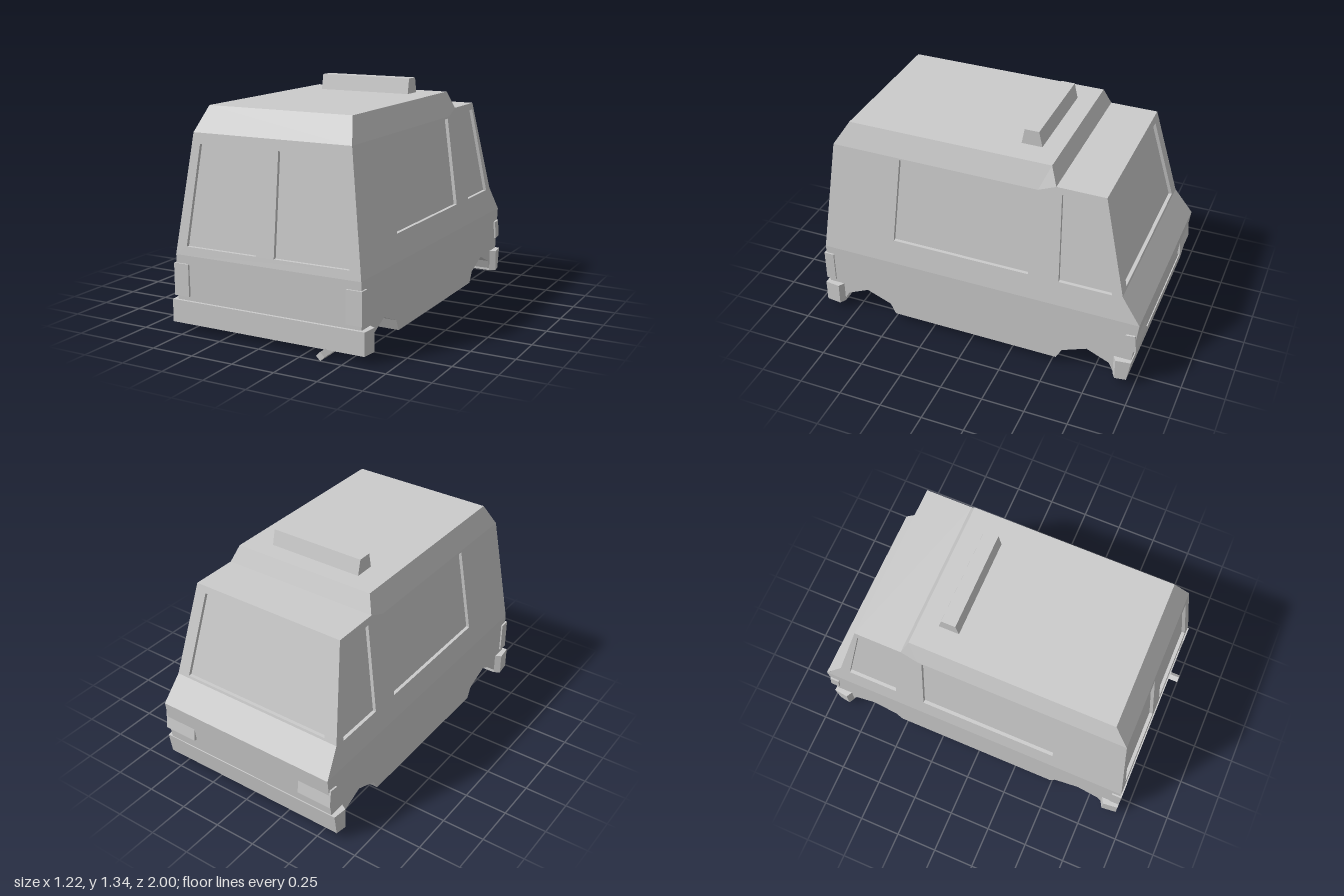
import * as THREE from 'three';
import { mergeGeometries } from 'three/addons/utils/BufferGeometryUtils.js';

const material = new THREE.MeshStandardMaterial({ color: 0xcccccc, flatShading: true, side: THREE.DoubleSide });
const RECESS = 0.02;

// Body half width at a height: straight below the belt line, leaning in above it
const halfWidth = (y) => 0.575 - 0.134 * Math.max(0, y - 0.43);
const v2 = (pts) => pts.map(([x, y]) => new THREE.Vector2(x, y));

// Polygons given as corner loops, counter-clockwise from outside
function polygons(loops) {
  const pos = [];
  for (const p of loops)
    for (let i = 1; i < p.length - 1; i++) pos.push(...p[0], ...p[i], ...p[i + 1]);
  const g = new THREE.BufferGeometry();
  g.setAttribute('position', new THREE.Float32BufferAttribute(pos, 3));
  g.computeVertexNormals();
  return g;
}

// Flat outline placed in space by map(u, v, depth)
function face(outline, holes, map, depth) {
  const shape = new THREE.Shape(v2(outline));
  shape.holes = holes.map((h) => new THREE.Path(v2(h)));
  const g = new THREE.ShapeGeometry(shape).toNonIndexed();
  g.deleteAttribute('uv');
  const p = g.attributes.position;
  for (let i = 0; i < p.count; i++) p.setXYZ(i, ...map(p.getX(i), p.getY(i), depth));
  g.computeVertexNormals();
  return g;
}

// Panel with sunken windows: skin, reveals and glass
function panel(group, name, outline, windows, map) {
  const add = (part, g) => {
    const m = new THREE.Mesh(g, material);
    m.name = part;
    group.add(m);
  };
  const parts = [face(outline, windows, map, 0)];
  for (const w of windows) {
    const loop = THREE.ShapeUtils.isClockWise(v2(w)) ? [...w].reverse() : w;
    parts.push(polygons(loop.map((a, i) => {
      const b = loop[(i + 1) % loop.length];
      return [map(...a, 0), map(...b, 0), map(...b, RECESS), map(...a, RECESS)];
    })));
    add(name + 'Glass', face(w, [], map, RECESS));
  }
  add(name, mergeGeometries(parts));
}

export function createModel() {
  const model = new THREE.Group();
  model.name = 'van';
  const add = (name, geometry, x = 0, y = 0, z = 0) => {
    const m = new THREE.Mesh(geometry, material);
    m.name = name;
    m.position.set(x, y, z);
    model.add(m);
    return m;
  };

  // Underside profile with wheel arches, as [z, y] from +z to -z
  const belly = [
    [0.93, 0.43], [0.92, 0.045], [0.84, 0.045], [0.8, 0.11], [0.67, 0.17], [0.52, 0.11], [0.49, 0.045],
    [-0.53, 0.045], [-0.565, 0.11], [-0.71, 0.17], [-0.845, 0.11], [-0.875, 0.045], [-0.955, 0.045], [-1, 0.43],
  ];
  const upperSide = [
    [0.93, 0.43], [0.86, 1.105], [-0.37, 1.105], [-0.47, 1.145], [-0.75, 1.145], [-0.89, 0.585], [-1, 0.43],
  ];
  const sideWindows = [
    [[0.48, 0.58], [0.447, 1.095], [-0.346, 1.095], [-0.346, 0.58]],
    [[-0.525, 0.58], [-0.505, 1.105], [-0.735, 1.105], [-0.83, 0.58]],
  ];

  // Side walls, mirrored
  for (const s of [1, -1]) {
    const toUV = (pts) => pts.map(([z, y]) => [-s * z, y]);
    const map = (u, v, d) => [s * (halfWidth(v) - d), v, -s * u];
    const side = s > 0 ? 'left' : 'right';
    panel(model, side + 'UpperSide', toUV(upperSide), sideWindows.map(toUV), map);
    panel(model, side + 'LowerSide', toUV(belly), [], map);
  }

  // Door end with two windows
  const doorWindow = (s) => [[s * 0.055, 0.48], [s * 0.505, 0.48], [s * 0.44, 1.045], [s * 0.055, 1.045]];
  panel(model, 'doors', [[-0.575, 0.43], [0.575, 0.43], [0.485, 1.105], [-0.485, 1.105]],
    [doorWindow(1), doorWindow(-1)], (u, v, d) => [u, v, 0.93 - 0.104 * (v - 0.43) - d]);

  // Windshield
  panel(model, 'windshield', [[-0.554, 0.585], [0.554, 0.585], [0.479, 1.145], [-0.479, 1.145]],
    [[[-0.475, 0.6], [0.475, 0.6], [0.415, 1.105], [-0.415, 1.105]]],
    (u, v, d) => [-u, v, -0.89 + 0.25 * (v - 0.585) + d]);

  // Panels spanning the full width, between [half width, y, z] rows
  const span = ([x1, y1, z1], [x2, y2, z2]) => [[x1, y1, z1], [x2, y2, z2], [-x2, y2, z2], [-x1, y1, z1]];
  const roofRows = [
    [0.485, 1.105, 0.86], [0.44, 1.245, 0.77], [0.44, 1.245, -0.43], [0.479, 1.145, -0.47], [0.479, 1.145, -0.75],
  ];
  const roof = [];
  for (let i = 0; i < roofRows.length - 1; i++) roof.push(span(roofRows[i], roofRows[i + 1]));
  // Sloping roof edges
  const shoulder = [0.485, 1.105, -0.37];
  const edges = [[roofRows[0], shoulder, roofRows[2], roofRows[1]], [shoulder, roofRows[3], roofRows[2]]];
  for (const e of edges) roof.push(e, e.map(([x, y, z]) => [-x, y, z]).reverse());
  add('roof', polygons(roof));
  add('hood', polygons([span([0.554, 0.585, -0.89], [0.575, 0.43, -1])]));

  const under = [];
  for (let i = 0; i < belly.length - 1; i++) {
    const [a, b] = [belly[i + 1], belly[i]];
    under.push(span([0.575, a[1], a[0]], [0.575, b[1], b[0]]));
  }
  add('underbody', polygons(under));

  // Bumpers wrapping round the corners
  const bumper = (name, s, out, inner, lean) => {
    const plan = [[0.6, out], [0.61, inner + 0.02], [0.575, inner]];
    const loop = [...plan, ...plan.map(([x, z]) => [-x, z]).reverse()];
    const g = new THREE.ExtrudeGeometry(new THREE.Shape(v2(loop.map(([x, z]) => [x, -s * z]))),
      { depth: 0.13, bevelEnabled: false });
    g.rotateX(-Math.PI / 2);
    const p = g.attributes.position;
    // Lower outer edge tucks in
    for (let i = 0; i < p.count; i++)
      if (p.getY(i) < 0.01 && Math.abs(p.getZ(i)) > out - 0.01) p.setZ(i, p.getZ(i) - s * lean);
    g.computeVertexNormals();
    add(name, g, 0, 0.042, 0);
  };
  bumper('doorEndBumper', 1, 0.94, 0.83, 0);
  bumper('windshieldEndBumper', -1, 0.976, 0.87, 0.02);

  // Lamps on the corners
  for (const s of [1, -1]) {
    add('tailLamp', new THREE.BoxGeometry(0.095, 0.185, 0.06), s * 0.537, 0.29, 0.909);
    const lamp = add('headLamp', new THREE.BoxGeometry(0.215, 0.11, 0.055), s * 0.478, 0.3, -0.963);
    lamp.rotation.x = 0.116;
  }

  // Roof light bar with a tapered section
  const bar = new THREE.ExtrudeGeometry(
    new THREE.Shape(v2([[0.2, 1.245], [0.32, 1.245], [0.3, 1.335], [0.217, 1.335]])),
    { depth: 0.58, bevelEnabled: false });
  bar.rotateY(Math.PI / 2);
  add('lightBar', bar, -0.29, 0, 0);

  // Exhaust pipe
  const pipe = new THREE.CylinderGeometry(0.025, 0.025, 0.2, 4);
  pipe.rotateX(Math.PI / 2);
  add('exhaustPipe', pipe, 0.375, 0.025, 0.9);

  return model;
}
